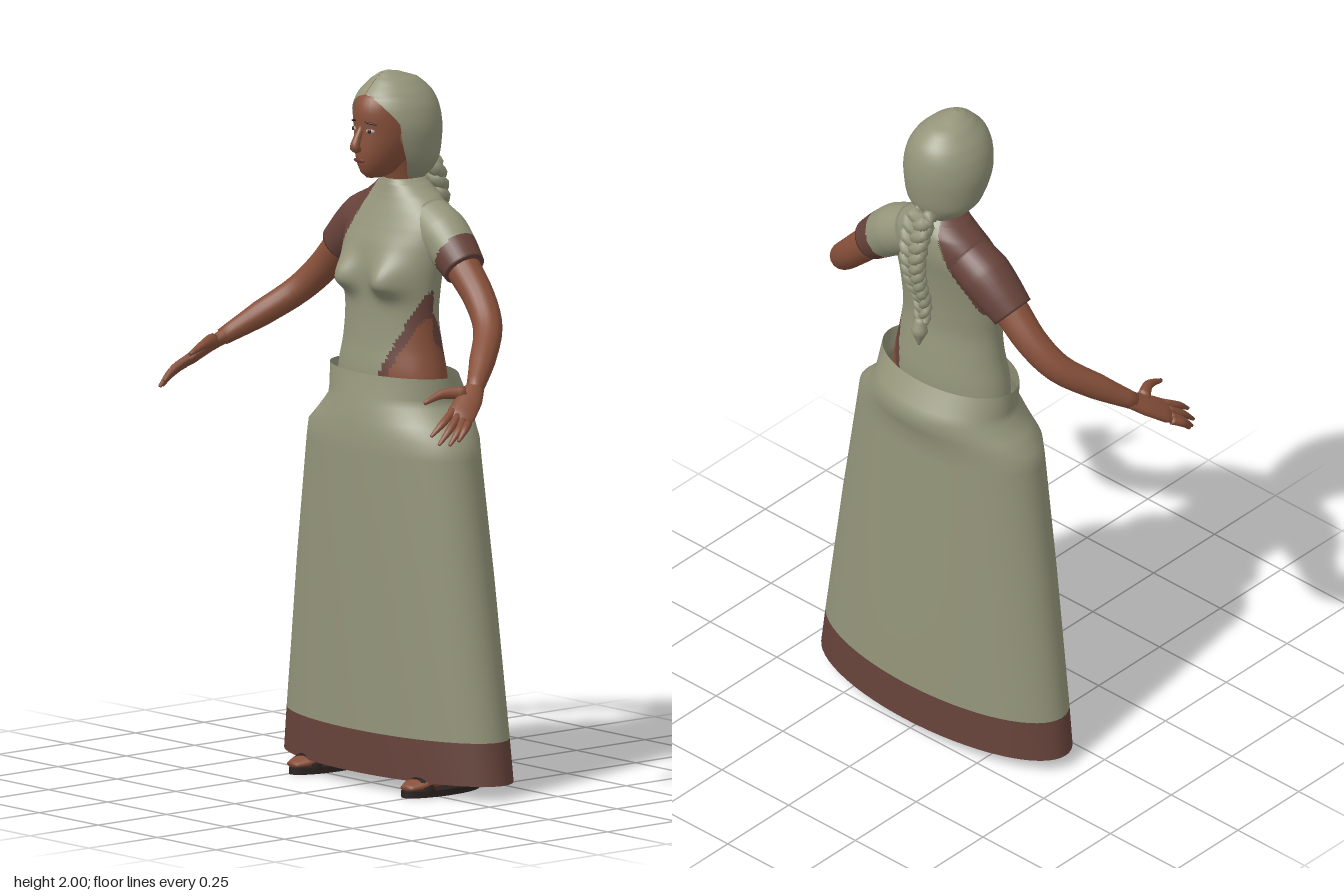
import * as THREE from 'three';

const V = (x, y, z) => new THREE.Vector3(x, y, z);
const colour = (name, hex, side = THREE.FrontSide) => {
  const m = new THREE.MeshStandardMaterial({ color: hex, side });
  m.name = name;
  return m;
};

// Surface through rings of points; pick(centre) chooses a material index per face
function grid(rings, { closed = true, caps = false, pick = () => 0 } = {}) {
  const n = rings[0].length, pts = rings.flat(), tris = [];
  const cols = closed ? n : n - 1;
  for (let i = 0; i < rings.length - 1; i++) for (let j = 0; j < cols; j++) {
    const k = (j + 1) % n, a = i * n + j, b = i * n + k, c = a + n, d = b + n;
    tris.push([a, b, c], [b, d, c]);
  }
  if (caps) for (const end of [0, rings.length - 1]) {
    const mid = pts.length, base = end * n;
    pts.push(rings[end].reduce((s, p) => s.add(p), V(0, 0, 0)).divideScalar(n));
    for (let j = 0; j < n; j++) {
      const a = base + j, b = base + (j + 1) % n;
      tris.push(end ? [a, b, mid] : [b, a, mid]);
    }
  }
  const sets = [];
  for (const t of tris) {
    const c = V(0, 0, 0);
    t.forEach(i => c.addScaledVector(pts[i], 1 / 3));
    (sets[pick(c)] ??= []).push(...t);
  }
  const g = new THREE.BufferGeometry().setFromPoints(pts);
  g.setIndex(sets.flat());
  let start = 0;
  sets.forEach((s, i) => { g.addGroup(start, s.length, i); start += s.length; });
  g.computeVertexNormals();
  return g;
}

// Stacked oval sections from rows [y, half width, front z, back z]
function sections(rows, steps, seg, opening = () => 0, bump) {
  const curve = new THREE.CatmullRomCurve3(rows.map(r => V(r[1], r[2], r[3])), false, 'catmullrom', 0.5);
  const total = (rows.length - 1) * steps, rings = [];
  for (let i = 0; i <= total; i++) {
    const k = Math.min(Math.floor(i / steps), rows.length - 2), f = i / steps - k;
    const y = rows[k][0] + (rows[k + 1][0] - rows[k][0]) * f;
    const { x: w, y: zf, z: zb } = curve.getPoint(i / total);
    const gap = opening(y), ring = [];
    for (let j = 0; j < seg; j++) {
      const u = gap ? j / (seg - 1) : j / seg;
      const a = -Math.PI / 2 + gap + u * (Math.PI * 2 - 2 * gap);
      const p = V(w * Math.cos(a), y, (zf + zb) / 2 - (zf - zb) / 2 * Math.sin(a));
      if (bump) bump(p, a);
      ring.push(p);
    }
    rings.push(ring);
  }
  return rings;
}

// Tapered tube along points; radii are numbers or [across, thick] pairs
function limb(points, radii, { steps = 4, seg = 12, across = V(0, 0.3, 1), pick } = {}) {
  const curve = new THREE.CatmullRomCurve3(points);
  const total = (points.length - 1) * steps, rings = [];
  const pair = r => Array.isArray(r) ? r : [r, r];
  for (let i = 0; i <= total; i++) {
    const k = Math.min(Math.floor(i / steps), points.length - 2), f = i / steps - k;
    const [a0, b0] = pair(radii[k]), [a1, b1] = pair(radii[k + 1]);
    const c = curve.getPoint(i / total), t = curve.getTangent(i / total);
    const s = across.clone().addScaledVector(t, -across.dot(t)).normalize();
    const n = t.clone().cross(s);
    rings.push(Array.from({ length: seg }, (_, j) => {
      const q = j / seg * Math.PI * 2;
      return c.clone().addScaledVector(s, (a0 + (a1 - a0) * f) * Math.cos(q))
        .addScaledVector(n, (b0 + (b1 - b0) * f) * Math.sin(q));
    }));
  }
  return grid(rings, { caps: true, pick });
}

export function createModel() {
  const root = new THREE.Group();
  root.name = 'womanInLongSkirt';
  const olive = colour('olive cloth', 0x94957a, THREE.DoubleSide);
  const maroon = colour('maroon cloth', 0x67433b, THREE.DoubleSide);
  const skin = colour('skin', 0x87503a);
  const dark = colour('dark leather', 0x2b2220);
  const lip = colour('lips', 0x6e3a30);
  const white = colour('eye white', 0xb5a79a);
  const add = (name, geo, mat, parent = root) => {
    const m = new THREE.Mesh(geo, mat);
    m.name = name;
    parent.add(m);
    return m;
  };

  // Skirt with contrasting hem
  add('skirt', grid(sections([
    [0.04, 0.445, 0.07, -0.27], [0.16, 0.43, 0.073, -0.268], [0.6, 0.37, 0.08, -0.257],
    [0.94, 0.318, 0.082, -0.246], [0.99, 0.31, 0.08, -0.245], [1.03, 0.27, 0.074, -0.258],
    [1.075, 0.23, 0.066, -0.268], [1.1, 0.228, 0.058, -0.25], [1.16, 0.228, 0.046, -0.213],
  ], 1, 64), { pick: c => c.y < 0.16 ? 1 : 0 }), [olive, maroon]);

  // Bodice: olive front and back, maroon right shoulder, open left waist
  const bust = p => {
    if (p.z < -0.07) return;
    for (const s of [-1, 1]) {
      const dy = p.y - 1.415;
      p.z += 0.05 * Math.exp(-(((p.x - s * 0.085) / 0.05) ** 2) - (dy / (dy > 0 ? 0.065 : 0.035)) ** 2);
    }
  };
  const bodiceColour = ({ x, y, z }) => {
    const front = z > -0.08;
    const leftEdge = front ? 0.06 + (y - 1.16) * 0.47 : 0.12 + (y - 1.16) * 0.26;
    if (y < 1.47 && x > leftEdge) return y < 1.36 && x > leftEdge + 0.028 ? 2 : 1;
    const rightEdge = front ? -0.05 - (1.68 - y) * 0.5 : -0.04 - (1.68 - y) * 0.42;
    return y > 1.41 && x < rightEdge ? 1 : 0;
  };
  add('bodice', grid(sections([
    [1.08, 0.2, 0.03, -0.19], [1.16, 0.19, 0.035, -0.19], [1.24, 0.173, 0.025, -0.18],
    [1.32, 0.165, 0.02, -0.17], [1.4, 0.172, 0.02, -0.173], [1.46, 0.18, 0.022, -0.18],
    [1.52, 0.186, 0.012, -0.19], [1.57, 0.188, -0.008, -0.2], [1.61, 0.17, -0.025, -0.203],
    [1.65, 0.125, -0.04, -0.2], [1.68, 0.08, -0.048, -0.185], [1.695, 0.056, -0.052, -0.17],
  ], 7, 96, undefined, bust), { caps: true, pick: bodiceColour }), [olive, maroon, skin]);

  // Neck and head
  add('neck', limb([V(0, 1.62, -0.125), V(0, 1.69, -0.11), V(0, 1.79, -0.08)], [0.058, 0.05, 0.052]), skin);
  add('head', grid(sections([
    [1.705, 0.018, 0.015, -0.05], [1.72, 0.036, 0.032, -0.09], [1.75, 0.056, 0.043, -0.13],
    [1.79, 0.074, 0.045, -0.16], [1.84, 0.085, 0.042, -0.18], [1.89, 0.084, 0.044, -0.18],
    [1.93, 0.074, 0.03, -0.16], [1.96, 0.04, -0.01, -0.12],
  ], 3, 32), { caps: true }), skin);
  add('nose', limb([V(0, 1.85, 0.036), V(0, 1.815, 0.055), V(0, 1.795, 0.06), V(0, 1.786, 0.045)],
    [0.008, 0.012, 0.015, 0.008], { across: V(1, 0, 0) }), skin);
  const plate = (name, x, y, z, w, h, mat, tilt = 0) => {
    const m = add(name, new THREE.SphereGeometry(1, 12, 8), mat);
    m.scale.set(w, h, 0.004);
    m.position.set(x, y, z);
    m.rotation.set(0, x * 12, tilt);
  };
  plate('mouth', 0, 1.757, 0.046, 0.023, 0.007, lip);
  for (const s of [-1, 1]) {
    plate('eye', s * 0.034, 1.842, 0.034, 0.014, 0.006, white);
    plate('pupil', s * 0.034, 1.842, 0.037, 0.006, 0.006, dark);
    plate('eyebrow', s * 0.035, 1.864, 0.034, 0.02, 0.003, dark, -s * 0.15);
    const ear = add('ear', new THREE.SphereGeometry(1, 10, 8), skin);
    ear.scale.set(0.012, 0.028, 0.018);
    ear.position.set(s * 0.087, 1.82, -0.05);
  }

  // Hair shell, parted around the face
  const faceGap = y => 0.012 + (y < 1.94 ? 0.95 * Math.min(1, Math.sqrt((1.94 - y) / 0.075)) : 0);
  add('hair', grid(sections([
    [1.69, 0.045, -0.09, -0.17], [1.715, 0.08, -0.04, -0.195], [1.75, 0.108, -0.01, -0.21],
    [1.8, 0.12, 0.02, -0.218], [1.85, 0.124, 0.035, -0.22], [1.9, 0.114, 0.035, -0.213],
    [1.94, 0.092, 0.022, -0.195], [1.975, 0.058, -0.01, -0.155], [1.993, 0.025, -0.035, -0.1],
    [2.0, 0.002, -0.058, -0.062],
  ], 4, 40, faceGap), { closed: false }), olive);

  // Three-strand braid ending in a tuft
  const braid = new THREE.Group();
  braid.name = 'braid';
  root.add(braid);
  for (let k = 0; k < 3; k++) {
    const pts = [], radii = [];
    for (let i = 0; i <= 30; i++) {
      const f = i / 30, a = f * Math.PI * 7 + k * Math.PI * 2 / 3, size = 1 - 0.5 * f;
      pts.push(V(0.032 * size * Math.sin(a), 1.73 - 0.37 * f,
        -0.19 - 0.045 * Math.sin(Math.PI * Math.min(1, f * 1.1 + 0.1)) - 0.012 * f + 0.012 * size * Math.sin(2 * a)));
      radii.push(0.022 * size);
    }
    add('braidStrand', limb(pts, radii, { steps: 2, seg: 8 }), olive, braid);
  }
  add('braidTuft', limb([V(0, 1.37, -0.208), V(0, 1.33, -0.212), V(0, 1.285, -0.215)], [0.014, 0.024, 0.003]), olive, braid);

  for (const s of [-1, 1]) {
    const P = (x, y, z) => V(s * x, y, z);
    const side = s > 0 ? 'left' : 'right';

    // Sleeve: the left one is partly covered by the olive bodice
    add(side + 'Sleeve', limb([P(0.1, 1.585, -0.12), P(0.165, 1.55, -0.12), P(0.215, 1.51, -0.118), P(0.262, 1.468, -0.115)],
      [0.07, 0.074, 0.068, 0.06], {
        steps: 8, seg: 32,
        pick: c => s < 0 || c.y < 1.445 + (c.x - 0.18) * 1.7 ? 1 : 0,
      }), [olive, maroon]);

    // Arm and hand
    const arm = new THREE.Group();
    arm.name = side + 'Arm';
    root.add(arm);
    add('arm', limb([P(0.17, 1.55, -0.12), P(0.25, 1.475, -0.115), P(0.33, 1.395, -0.11), P(0.4, 1.325, -0.08),
      P(0.47, 1.255, 0), P(0.535, 1.19, 0.085)], [0.05, 0.05, 0.045, 0.041, 0.037, 0.024], { seg: 16 }), skin, arm);
    const across = P(-0.8, 0.5, 0.3);
    add('palm', limb([P(0.525, 1.2, 0.07), P(0.55, 1.17, 0.115), P(0.572, 1.135, 0.165), P(0.58, 1.12, 0.185)],
      [[0.024, 0.022], [0.036, 0.018], [0.04, 0.016], [0.034, 0.01]], { across }), skin, arm);
    const fingers = [
      [P(0.555, 1.145, 0.18), P(0.568, 1.115, 0.232), P(0.566, 1.085, 0.27)],
      [P(0.572, 1.133, 0.178), P(0.59, 1.1, 0.225), P(0.592, 1.064, 0.264)],
      [P(0.587, 1.122, 0.172), P(0.605, 1.095, 0.207), P(0.609, 1.062, 0.24)],
      [P(0.6, 1.115, 0.165), P(0.617, 1.1, 0.192), P(0.62, 1.072, 0.217)],
      [P(0.535, 1.185, 0.12), P(0.505, 1.185, 0.175), P(0.497, 1.165, 0.235)],
    ];
    fingers.forEach((pts, i) => add(i < 4 ? 'finger' : 'thumb',
      limb(pts, i < 4 ? [0.012, 0.011, 0.005] : [0.02, 0.014, 0.006], { seg: 8, across }), skin, arm));

    // Leg, foot and sandal
    const leg = new THREE.Group();
    leg.name = side + 'Leg';
    root.add(leg);
    add('leg', limb([P(0.1, 1.05, -0.09), P(0.16, 0.6, -0.09), P(0.2, 0.35, -0.11), P(0.232, 0.07, -0.11)],
      [0.085, 0.06, 0.055, 0.034], { across: V(1, 0, 0) }), skin, leg);
    add('foot', limb([P(0.232, 0.04, -0.165), P(0.233, 0.052, -0.12), P(0.236, 0.045, -0.03), P(0.24, 0.032, 0.045), P(0.242, 0.026, 0.082)],
      [[0.02, 0.02], [0.034, 0.032], [0.042, 0.026], [0.044, 0.014], [0.024, 0.008]], { across: V(1, 0, 0) }), skin, leg);
    const sole = add('sandalSole', new THREE.CylinderGeometry(1, 1, 0.018, 32), dark, leg);
    sole.scale.set(0.052, 1, 0.135);
    sole.position.set(s * 0.238, 0.009, -0.045);
    const strap = add('sandalStrap', new THREE.TorusGeometry(0.045, 0.006, 8, 20, Math.PI), dark, leg);
    strap.scale.set(1, 0.85, 3);
    strap.position.set(s * 0.239, 0.012, 0.03);
  }
  return root;
}
